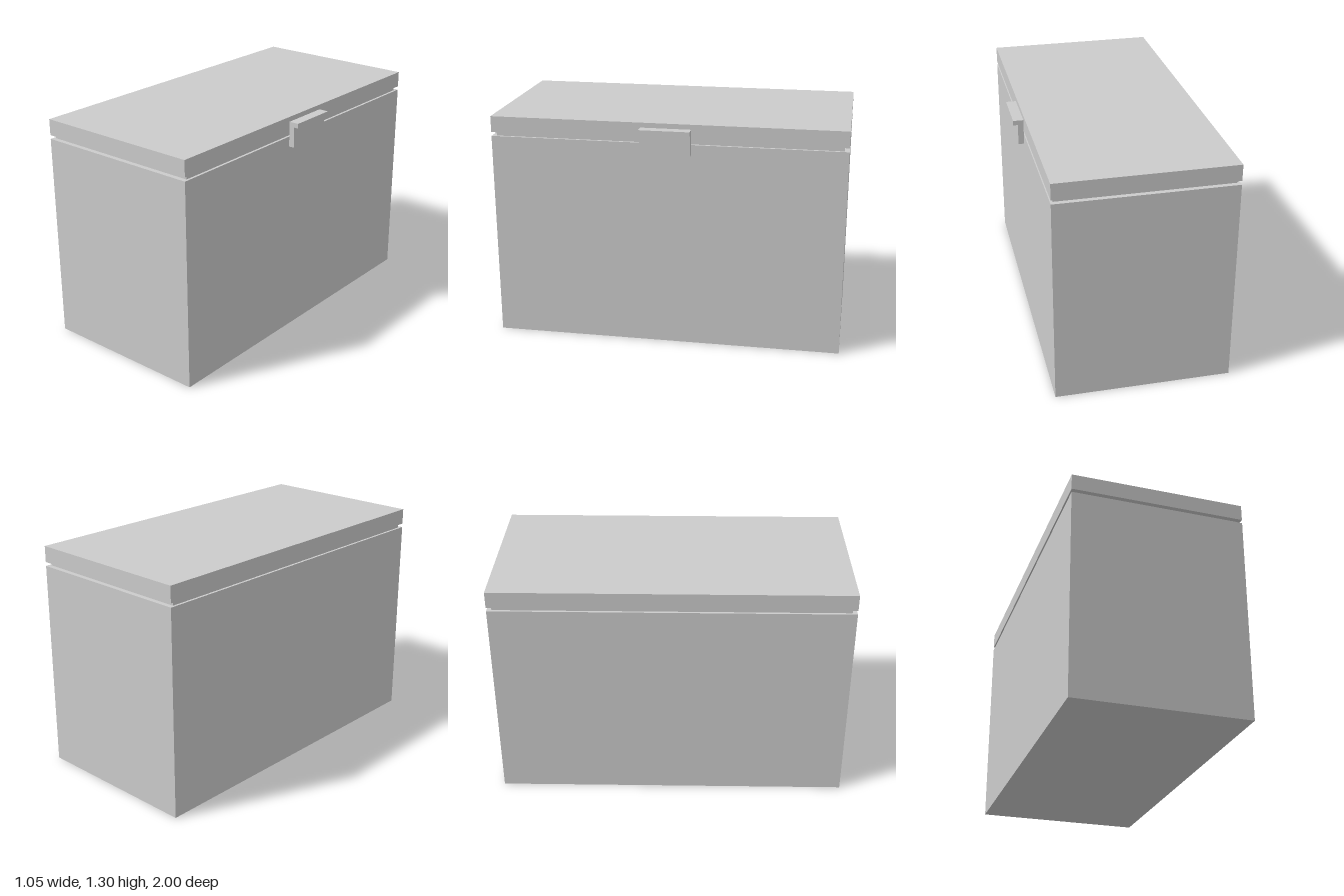
import * as THREE from 'three';

const material = new THREE.MeshStandardMaterial({ color: 0xcccccc });

// Box given by its lower and upper corners
function box(name, [x0, y0, z0], [x1, y1, z1]) {
  const mesh = new THREE.Mesh(new THREE.BoxGeometry(x1 - x0, y1 - y0, z1 - z0), material);
  mesh.position.set((x0 + x1) / 2, (y0 + y1) / 2, (z0 + z1) / 2);
  mesh.name = name;
  return mesh;
}

export function createModel() {
  const group = new THREE.Group();
  group.name = 'chestFreezer';

  // Cabinet, recessed seal and lid
  group.add(
    box('cabinet', [-0.525, 0, -1], [0.465, 1.191, 1]),
    box('seal', [-0.511, 1.191, -0.973], [0.451, 1.213, 0.973]),
    box('lid', [-0.525, 1.213, -1], [0.465, 1.305, 1])
  );

  // Handle: a plate with an outward lip along its top edge
  const profile = new THREE.Shape([
    [0.465, 1.133], [0.497, 1.133], [0.497, 1.25],
    [0.523, 1.25], [0.523, 1.277], [0.465, 1.277],
  ].map(([x, y]) => new THREE.Vector2(x, y)));
  const width = 0.284;
  const handle = new THREE.Mesh(
    new THREE.ExtrudeGeometry(profile, { depth: width, bevelEnabled: false }),
    material
  );
  handle.position.z = -width / 2;
  handle.name = 'handle';
  group.add(handle);

  return group;
}
